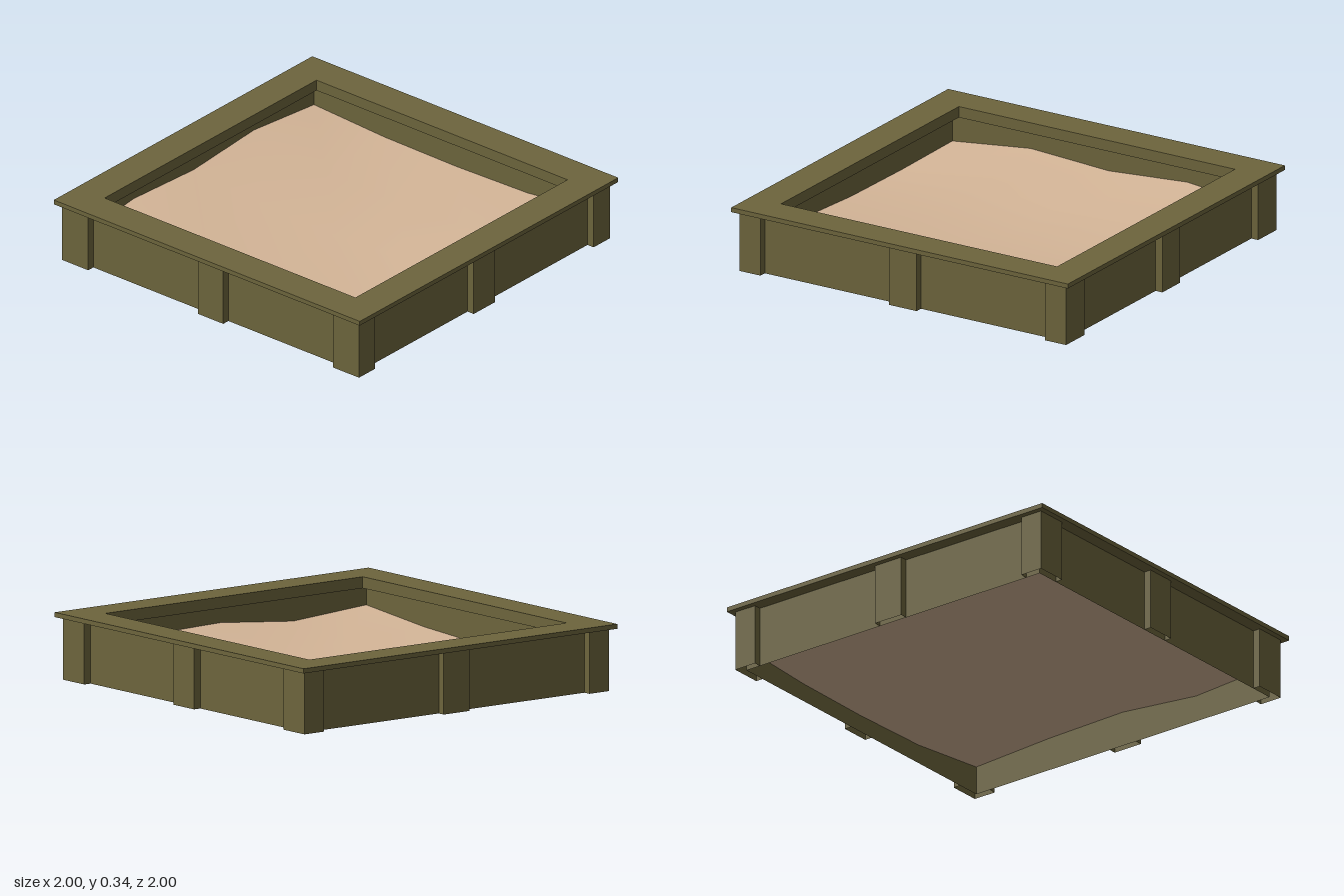
import * as THREE from 'three';

const WALL = 0.93, POST = 0.97, WALL_TOP = 0.317, RIM_TOP = 0.341, OPENING = 0.82;

// Corners of a square seen from above, as [x, z]
const square = (r) => [[-r, r], [r, r], [r, -r], [-r, -r]];

// Upright sheet of flat panels following a path of [x, z] points
function sheet(path, y0, y1) {
  const positions = [];
  for (let i = 0; i < path.length - 1; i++) {
    const [ax, az] = path[i], [bx, bz] = path[i + 1];
    positions.push(ax, y0, az, bx, y0, bz, bx, y1, bz, ax, y0, az, bx, y1, bz, ax, y1, az);
  }
  const geometry = new THREE.BufferGeometry();
  geometry.setAttribute('position', new THREE.Float32BufferAttribute(positions, 3));
  geometry.computeVertexNormals();
  return geometry;
}

const closed = (path) => [...path, path[0]];

export function createModel() {
  const model = new THREE.Group();
  model.name = 'sandbox';
  const olive = new THREE.MeshStandardMaterial({ color: 0x6d653d, side: THREE.DoubleSide });
  olive.name = 'olive wood';
  const sandTan = new THREE.MeshStandardMaterial({ color: 0xd5b698, side: THREE.DoubleSide });
  sandTan.name = 'sand tan';

  const add = (name, geometry, material) => {
    const mesh = new THREE.Mesh(geometry, material);
    mesh.name = name;
    model.add(mesh);
    return mesh;
  };

  // Overhanging flat rim with a square opening
  const toVectors = (path) => path.map(([x, z]) => new THREE.Vector2(x, -z));
  const rimShape = new THREE.Shape(toVectors(square(1)));
  rimShape.holes.push(new THREE.Path(toVectors(square(OPENING))));
  const rim = new THREE.ExtrudeGeometry(rimShape, { depth: RIM_TOP - WALL_TOP, bevelEnabled: false });
  add('rim', rim.rotateX(-Math.PI / 2).translate(0, WALL_TOP, 0), olive);

  // Lip hanging from the opening, and thin outer walls
  add('rimLip', sheet(closed(square(OPENING)).reverse(), 0.283, WALL_TOP), olive);
  add('walls', sheet(closed(square(WALL)), 0, WALL_TOP), olive);

  // Hollow posts on each side: one in the middle, one wrapping the corner
  const middle = [[-0.0825, WALL], [-0.0825, POST], [0.0825, POST], [0.0825, WALL]];
  for (let i = 0; i < 4; i++) {
    add('middlePost', sheet(middle, 0, WALL_TOP), olive).rotation.y = i * Math.PI / 2;
  }
  const corner = [[0.845, WALL], [0.845, POST], [POST, POST], [POST, 0.8], [WALL, 0.8]];
  for (const sx of [-1, 1]) {
    for (const sz of [-1, 1]) {
      const path = corner.map(([x, z]) => [sx * x, sz * z]);
      add('cornerPost', sheet(sx * sz > 0 ? path : path.reverse(), 0, WALL_TOP), olive);
    }
  }

  // Sand, slightly hollow in the middle: heights by row from back to front
  const heights = [
    [0.10, 0.155, 0.13, 0.165, 0.12],
    [0.095, 0.095, 0.085, 0.095, 0.095],
    [0.10, 0.085, 0.075, 0.08, 0.09],
    [0.125, 0.10, 0.10, 0.095, 0.10],
    [0.17, 0.14, 0.185, 0.175, 0.15],
  ].flat();
  const sand = new THREE.PlaneGeometry(2 * WALL, 2 * WALL, 4, 4).rotateX(-Math.PI / 2);
  heights.forEach((h, i) => sand.attributes.position.setY(i, h));
  sand.computeVertexNormals();
  add('sand', sand, sandTan);

  return model;
}
